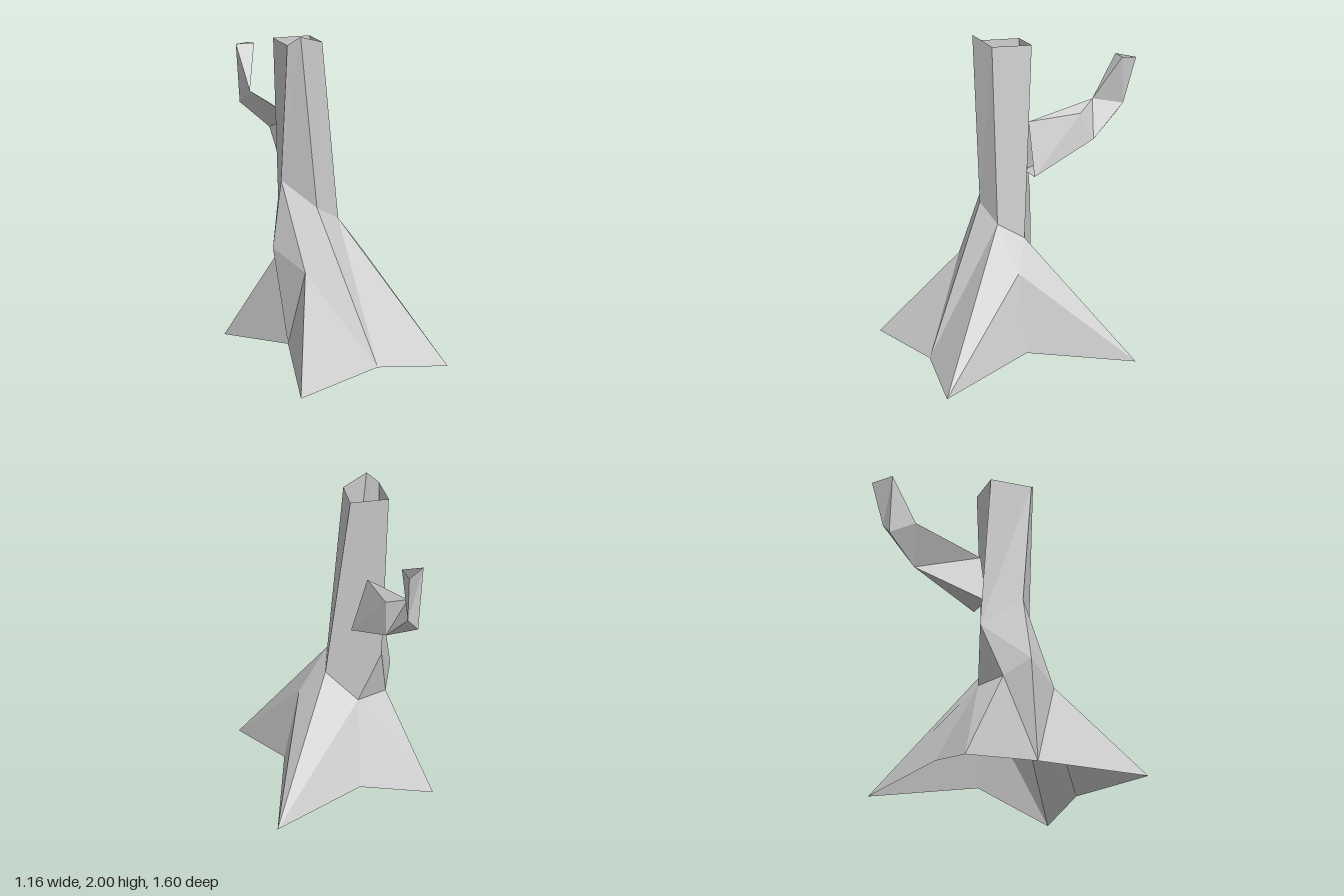
import * as THREE from 'three';

const material = new THREE.MeshStandardMaterial({
  color: 0xcccccc, flatShading: true, side: THREE.DoubleSide,
});

// Builds a faceted surface from named points and triangle fans [apex, ...rim]
function facetedMesh(name, points, fans) {
  const positions = [];
  for (const [apex, ...rim] of fans) {
    for (let i = 0; i < rim.length - 1; i++) {
      for (const key of [apex, rim[i], rim[i + 1]]) positions.push(...points[key]);
    }
  }
  const geometry = new THREE.BufferGeometry();
  geometry.setAttribute('position', new THREE.Float32BufferAttribute(positions, 3));
  geometry.computeVertexNormals();
  const mesh = new THREE.Mesh(geometry, material);
  mesh.name = name;
  return mesh;
}

// Five corners where the trunk meets the roots, counter-clockwise from above
const collar = {
  front: [0, 0.87, 0.22],
  left: [0.07, 0.78, 0.07],
  back: [-0.23, 0.95, -0.12],
  right: [-0.335, 1.13, 0.12],
  frontRight: [-0.17, 0.97, 0.26],
};

// Matching corners of the open, broken top
const rim = {
  front: [-0.10, 1.95, 0.20],
  left: [-0.05, 1.95, -0.04],
  back: [-0.28, 1.95, -0.07],
  right: [-0.33, 1.95, 0.20],
  frontRight: [-0.27, 2.0, 0.25],
};

// Hollow trunk: one panel per side between collar and rim
function createTrunk() {
  const points = {}, fans = [], sides = Object.keys(collar);
  sides.forEach((side, i) => {
    const next = sides[(i + 1) % sides.length];
    points[side + 'Low'] = collar[side];
    points[side + 'High'] = rim[side];
    fans.push([side + 'Low', next + 'Low', next + 'High', side + 'High']);
  });
  return facetedMesh('trunk', points, fans);
}

// Four spreading roots with valleys between them
function createRoots() {
  const points = {
    ...collar,
    // root tips
    tipFL: [0.45, 0.01, 0.77], tipBL: [0.58, 0.05, -0.44],
    tipBR: [-0.50, 0, -0.37], tipFR: [-0.58, 0.05, 0.80],
    // valleys on the ground
    valleyF: [0, 0.07, 0.69], valleyL: [0.32, 0.13, 0.18],
    valleyB: [-0.02, 0.12, -0.30], valleyR: [-0.34, 0.11, 0.20],
    // knees halfway up
    kneeL: [0.21, 0.61, 0.18], kneeB: [-0.10, 0.61, -0.06],
    kneeBR: [-0.31, 0.61, -0.01], kneeR: [-0.40, 0.72, 0.13],
    kneeFR: [-0.30, 0.61, 0.35],
  };
  return facetedMesh('roots', points, [
    ['front', 'frontRight', 'valleyF', 'tipFL', 'kneeL', 'left'],
    ['kneeL', 'tipFL', 'valleyL', 'tipBL', 'left'],
    ['kneeB', 'back', 'left', 'tipBL', 'valleyB', 'tipBR', 'kneeBR', 'back'],
    ['kneeBR', 'tipBR', 'valleyR', 'kneeR', 'back'],
    ['kneeR', 'valleyR', 'kneeFR', 'right', 'back'],
    ['kneeFR', 'valleyR', 'tipFR', 'valleyF', 'frontRight', 'right'],
  ]);
}

// Three-sided bent branch with an open end
function createBranch() {
  const points = {
    baseTop: [-0.15, 1.45, -0.07], baseL: [-0.05, 1.12, -0.06], baseR: [-0.22, 1.12, -0.07],
    midTop: [-0.12, 1.47, -0.42], midLow: [-0.09, 1.30, -0.50],
    crook: [-0.20, 1.535, -0.55],
    elbowL: [-0.12, 1.505, -0.73], elbowR: [-0.19, 1.43, -0.72],
    endL: [-0.09, 1.81, -0.70], endBack: [-0.09, 1.80, -0.80], endR: [-0.21, 1.81, -0.72],
  };
  return facetedMesh('branch', points, [
    ['baseTop', 'baseL', 'midTop', 'crook', 'midLow', 'baseR'],
    ['midLow', 'crook', 'elbowR', 'elbowL', 'crook', 'midTop', 'baseL', 'baseR'],
    ['crook', 'elbowL', 'endL', 'endR', 'elbowR'],
    ['elbowL', 'elbowR', 'endR', 'endBack', 'endL'],
  ]);
}

export function createModel() {
  const tree = new THREE.Group();
  tree.name = 'deadTree';
  tree.add(createTrunk(), createRoots(), createBranch());
  return tree;
}
